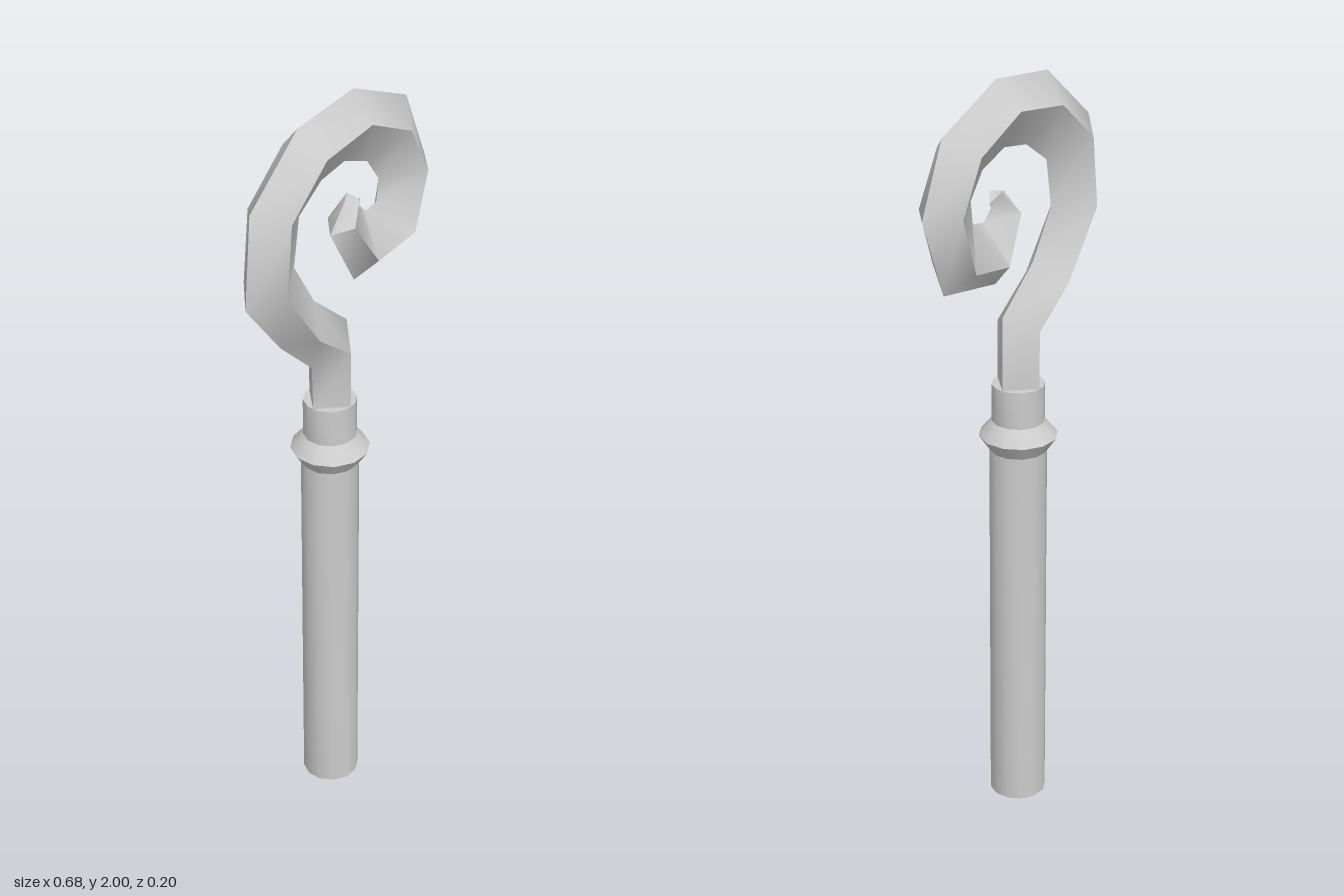
import * as THREE from 'three';
import { toCreasedNormals } from 'three/addons/utils/BufferGeometryUtils.js';

const AXIS_X = -0.03;

// Twelve-sided turned pole with a flared collar and a narrower neck
function poleGeometry() {
  const profile = [
    [0, 0], [0.074, 0], [0.074, 1.015], [0.101, 1.055], [0.068, 1.095], [0.068, 1.195], [0, 1.195],
  ].map(([r, y]) => new THREE.Vector2(r, y));
  return toCreasedNormals(new THREE.LatheGeometry(profile, 12, Math.PI / 12), 0.55);
}

// Diamond cross-sections swept along the curl:
// outer ridge x, y, side ridge x, y, inner ridge x, y, half depth
const SECTIONS = [
  [-0.096, 1.185, -0.03, 1.185, 0.036, 1.185, 0.066],
  [-0.1, 1.315, -0.03, 1.347, 0.036, 1.39, 0.066],
  [-0.217, 1.427, -0.15, 1.44, -0.09, 1.5, 0.066],
  [-0.34, 1.585, -0.268, 1.607, -0.163, 1.623, 0.066],
  [-0.318, 1.825, -0.248, 1.792, -0.143, 1.75, 0.066],
  [-0.145, 1.975, -0.12, 1.905, -0.06, 1.81, 0.066],
  [0.058, 2.0, 0.048, 1.93, 0.026, 1.825, 0.066],
  [0.264, 1.908, 0.2, 1.857, 0.112, 1.792, 0.066],
  [0.34, 1.727, 0.27, 1.725, 0.158, 1.727, 0.066],
  [0.264, 1.52, 0.222, 1.575, 0.15, 1.667, 0.066],
  [0.064, 1.489, 0.085, 1.553, 0.108, 1.66, 0.06],
  [-0.028, 1.65, 0.015, 1.665, 0.08, 1.688, 0.042],
  [0.028, 1.717, 0.06, 1.722, 0.086, 1.7, 0.02],
];

function hookGeometry() {
  const positions = [], index = [];
  SECTIONS.forEach(([ox, oy, mx, my, ix, iy, d], i) => {
    positions.push(ox, oy, 0, mx, my, d, ix, iy, 0, mx, my, -d);
    if (i === 0) return;
    for (let k = 0; k < 4; k++) {
      const n = (k + 1) % 4, lo = (i - 1) * 4, hi = i * 4;
      index.push(lo + k, lo + n, hi + n, lo + k, hi + n, hi + k);
    }
  });
  // End caps
  const t = (SECTIONS.length - 1) * 4;
  index.push(t, t + 1, t + 2, t, t + 2, t + 3, 0, 2, 1, 0, 3, 2);
  const geometry = new THREE.BufferGeometry();
  geometry.setAttribute('position', new THREE.Float32BufferAttribute(positions, 3));
  geometry.setIndex(index);
  return toCreasedNormals(geometry, 1.0);
}

export function createModel() {
  const group = new THREE.Group();
  group.name = 'staff';
  const grey = new THREE.MeshStandardMaterial({ color: 0xcccccc });
  grey.name = 'light grey';

  const pole = new THREE.Mesh(poleGeometry(), grey);
  pole.name = 'pole';
  pole.position.x = AXIS_X;

  const hook = new THREE.Mesh(hookGeometry(), grey);
  hook.name = 'curledHook';

  group.add(pole, hook);
  return group;
}
